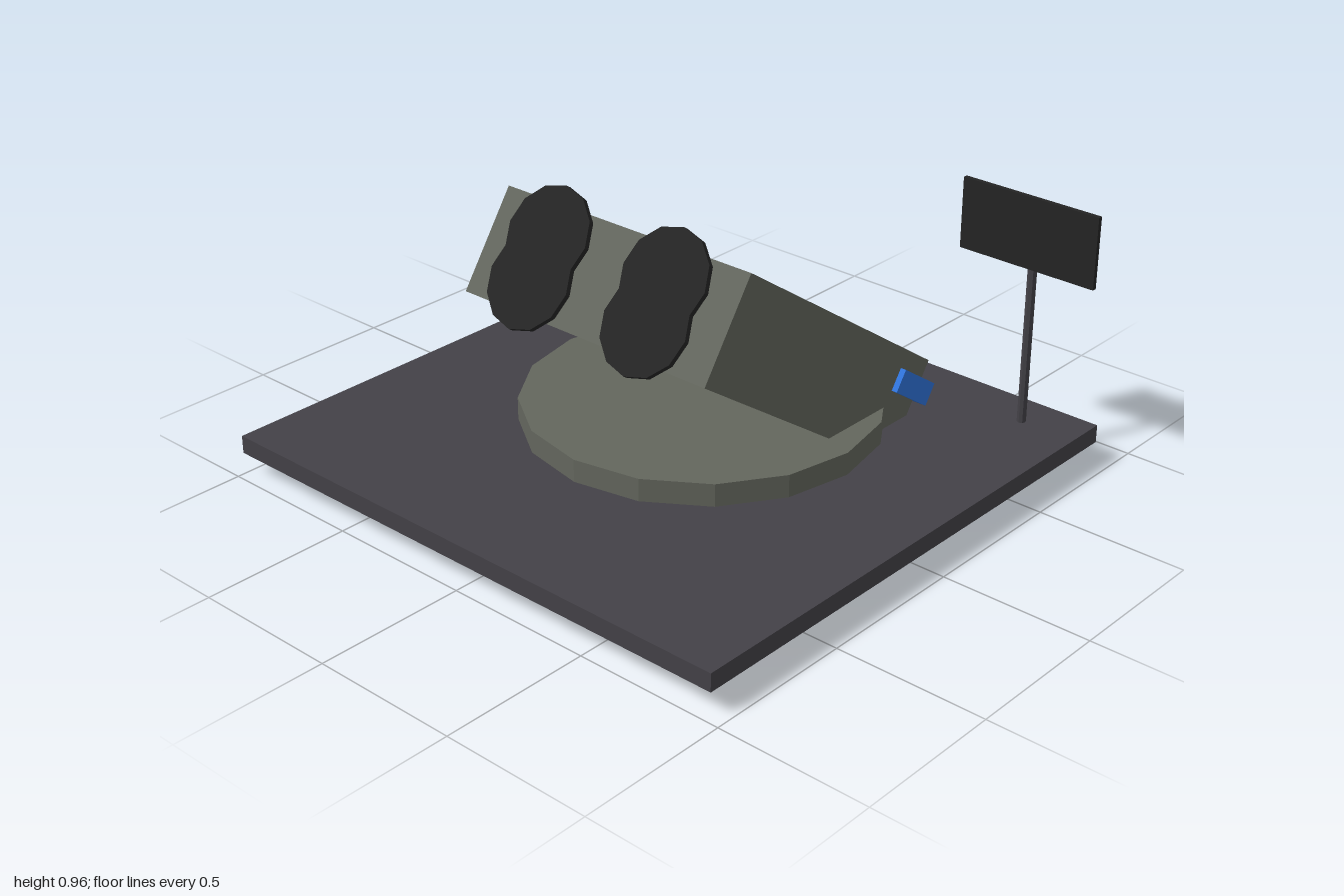
import * as THREE from 'three';

const material = (name, color) => {
  const m = new THREE.MeshStandardMaterial({ color });
  m.name = name;
  return m;
};

export function createModel() {
  const slate = material('slate', 0x434147);
  const stone = material('stone grey', 0x63665d);
  const black = material('black', 0x242424);
  const blue = material('blue', 0x2f73da);
  const model = new THREE.Group();

  const add = (parent, name, geometry, mat, x, y, z) => {
    const mesh = new THREE.Mesh(geometry, mat);
    mesh.name = name;
    mesh.position.set(x, y, z);
    parent.add(mesh);
    return mesh;
  };
  const box = (w, h, d) => new THREE.BoxGeometry(w, h, d);
  // faceted cylinder
  const prism = (r, h, sides) => {
    const g = new THREE.CylinderGeometry(r, r, h, sides).toNonIndexed();
    g.computeVertexNormals();
    return g;
  };

  // ground slab and round plinth
  add(model, 'baseSlab', box(1.95, 0.06, 1.85), slate, -0.025, 0.11, 0.047);
  add(model, 'plinth', prism(0.585, 0.077, 16), stone, -0.025, 0.1775, -0.1);

  // tilted block, sunk through the slab at its rear end
  const tilted = new THREE.Group();
  tilted.name = 'tiltedBlock';
  tilted.position.set(-0.026, 0.4525, -0.095);
  tilted.rotation.x = -0.597;
  model.add(tilted);
  add(tilted, 'block', box(0.975, 0.35, 1.07), stone, 0, 0, 0);
  add(tilted, 'rearBand', box(1.015, 0.077, 0.192), blue, 0, 0.076, -0.493);

  // pairs of overlapping discs floating just off the raised end
  for (const side of [-1, 1]) {
    for (const level of [-1, 1]) {
      const disc = add(tilted, 'endDisc', prism(0.157, 0.018, 12), black,
        side * 0.235, level * 0.074, 0.566);
      disc.rotation.x = Math.PI / 2;
    }
  }

  // sign on a post
  add(model, 'signPost', prism(0.015, 0.625, 8), slate, 0.755, 0.4525, -0.742);
  add(model, 'signBoard', box(0.486, 0.235, 0.015), black, 0.757, 0.803, -0.704);

  return model;
}
